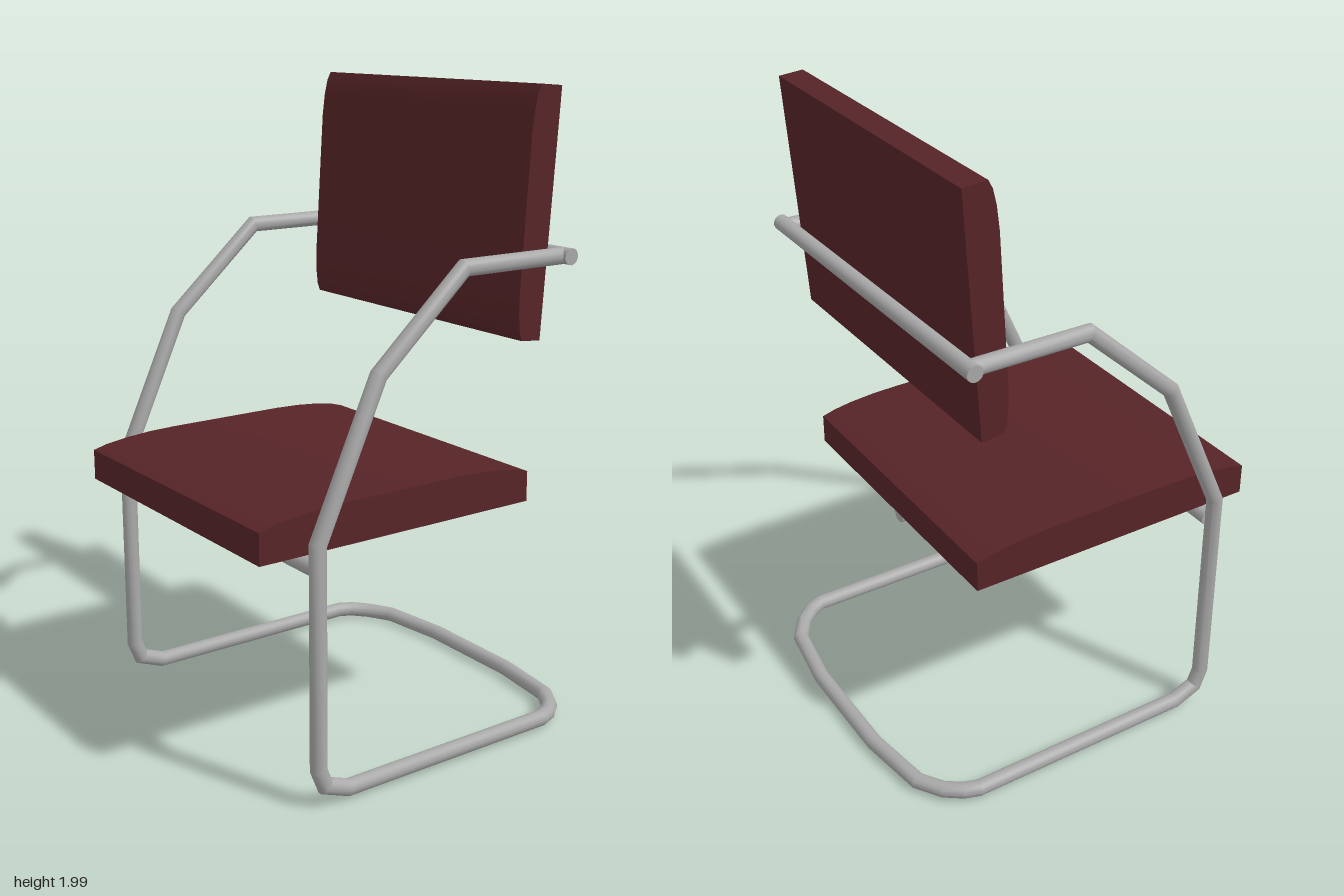
import * as THREE from 'three';
import { toCreasedNormals } from 'three/addons/utils/BufferGeometryUtils.js';

const V = (x, y, z) => new THREE.Vector3(x, y, z);

// Bent tube: straight runs with mitred joints and closed ends
function bentTube(points, radius, sides = 14) {
  const pos = [], idx = [];
  const dirs = points.slice(1).map((p, i) => p.clone().sub(points[i]).normalize());
  const u = V(1, 0, 0);
  if (Math.abs(dirs[0].x) > 0.9) u.set(0, 1, 0);
  u.addScaledVector(dirs[0], -u.dot(dirs[0])).normalize();

  const addRing = (p, d, mitre, w) => {
    const start = pos.length / 3;
    for (let k = 0; k < sides; k++) {
      const a = (k / sides) * Math.PI * 2;
      const o = u.clone().multiplyScalar(Math.cos(a) * radius).addScaledVector(w, Math.sin(a) * radius);
      o.addScaledVector(d, -o.dot(mitre) / d.dot(mitre)).add(p);
      pos.push(o.x, o.y, o.z);
    }
    return start;
  };
  let first, last;
  dirs.forEach((d, i) => {
    if (i > 0) u.applyQuaternion(new THREE.Quaternion().setFromUnitVectors(dirs[i - 1], d));
    const w = d.clone().cross(u);
    const a = addRing(points[i], d, i > 0 ? dirs[i - 1].clone().add(d) : d, w);
    const b = addRing(points[i + 1], d, i < dirs.length - 1 ? dirs[i + 1].clone().add(d) : d, w);
    if (i === 0) first = a;
    last = b;
    for (let k = 0; k < sides; k++) {
      const n = (k + 1) % sides;
      idx.push(a + k, a + n, b + k, b + k, a + n, b + n);
    }
  });
  for (let k = 1; k < sides - 1; k++) {
    idx.push(first, first + k + 1, first + k, last, last + k, last + k + 1);
  }
  const g = new THREE.BufferGeometry();
  g.setAttribute('position', new THREE.Float32BufferAttribute(pos, 3));
  g.setIndex(idx);
  return toCreasedNormals(g, 0.5);
}

// Cushion: side profile in [z, y] extruded across the width
function cushion(profile, x0, x1) {
  const shape = new THREE.Shape(profile.map(([z, y]) => new THREE.Vector2(-z, y)));
  const g = new THREE.ExtrudeGeometry(shape, { depth: x1 - x0, bevelEnabled: false });
  g.rotateY(Math.PI / 2).translate(x0, 0, 0);
  return toCreasedNormals(g, 0.4);
}

export function createModel() {
  const chair = new THREE.Group();
  chair.name = 'cantileverChair';
  const steel = new THREE.MeshStandardMaterial({ color: 0xa8a8a8 });
  steel.name = 'tubular steel';
  const leather = new THREE.MeshStandardMaterial({ color: 0x562427 });
  leather.name = 'dark red upholstery';
  const add = (name, geometry, material) => {
    const mesh = new THREE.Mesh(geometry, material);
    mesh.name = name;
    chair.add(mesh);
  };

  // Continuous frame: arm, front leg, floor runner, rear bow, then mirrored
  const half = [
    V(0.543, 1.51, -0.42), V(0.543, 1.51, -0.045), V(0.543, 1.245, 0.25),
    V(0.543, 0.8, 0.452), V(0.543, 0.13, 0.452), V(0.543, 0.075, 0.43),
    V(0.543, 0.044, 0.35), V(0.543, 0.044, -0.4), V(0.525, 0.042, -0.445),
    V(0.485, 0.038, -0.493), V(0.41, 0.036, -0.541), V(0.185, 0.035, -0.573),
  ];
  const mirrored = half.map((p) => V(-p.x, p.y, p.z)).reverse();
  add('tubeFrame', bentTube([...half, ...mirrored], 0.025), steel);

  // Straight bars
  add('backRail', bentTube([V(-0.577, 1.51, -0.423), V(0.577, 1.51, -0.423)], 0.025), steel);
  add('seatFrontRail', bentTube([V(-0.53, 0.725, 0.445), V(0.53, 0.725, 0.445)], 0.025), steel);
  add('seatCentreBar', bentTube([V(-0.005, 0.725, 0.445), V(-0.005, 0.725, -0.357)], 0.025), steel);

  // Crowned seat cushion
  add('seat', cushion([
    [0.597, 0.75], [0.597, 0.846], [0.55, 0.858], [0.48, 0.868], [0.39, 0.875], [0.3, 0.877],
    [-0.1, 0.877], [-0.19, 0.874], [-0.27, 0.867], [-0.33, 0.857], [-0.372, 0.845], [-0.372, 0.75],
  ], -0.495, 0.475), leather);

  // Slightly reclined backrest
  add('backrest', cushion([
    [-0.37, 1.258], [-0.3, 1.264], [-0.291, 1.29], [-0.286, 1.34], [-0.286, 1.4], [-0.295, 1.55],
    [-0.309, 1.78], [-0.314, 1.86], [-0.323, 1.93], [-0.334, 1.975], [-0.347, 2.0], [-0.424, 1.994],
  ], -0.52, 0.51), leather);

  return chair;
}
